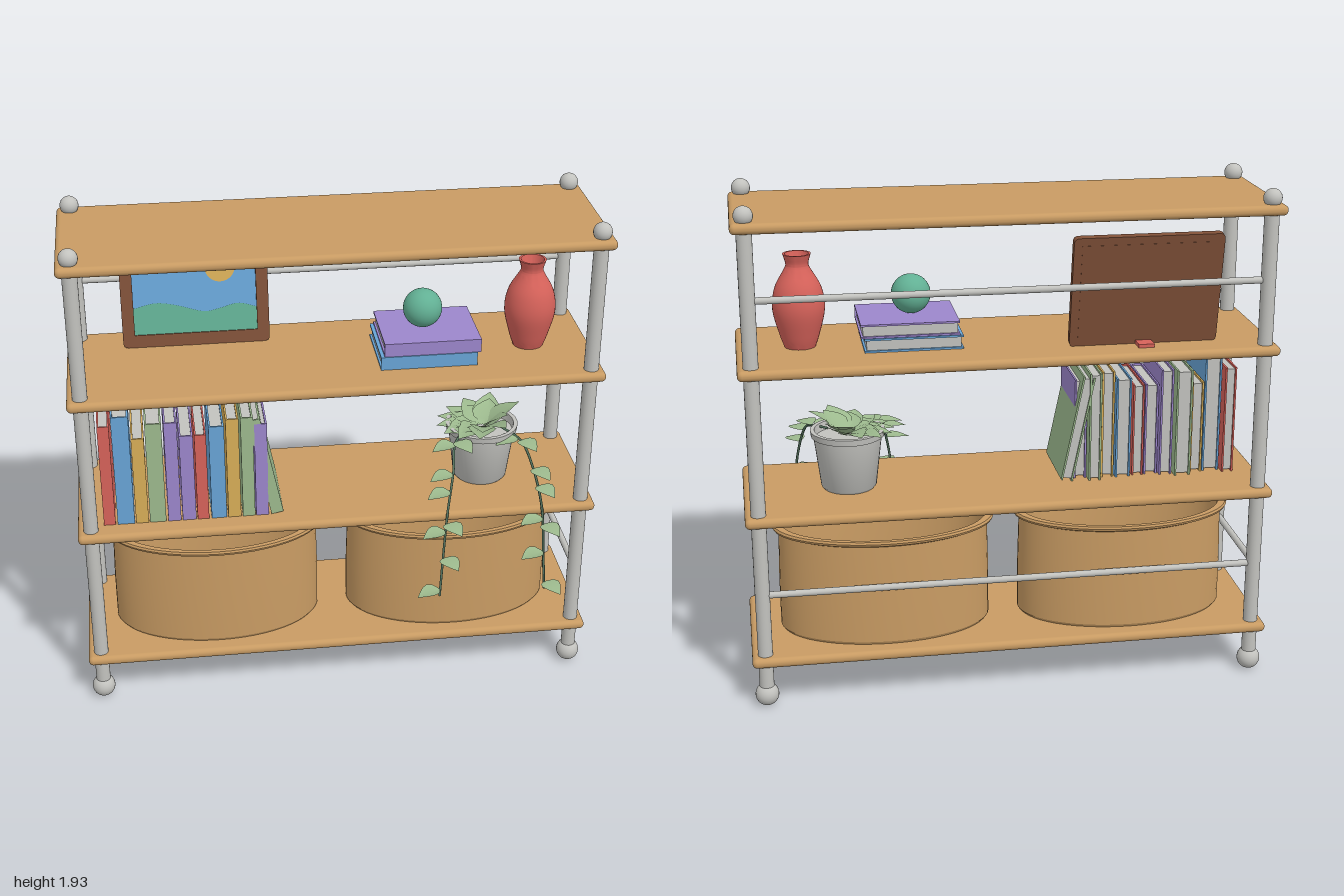
import * as THREE from 'three';
import { RoundedBoxGeometry } from 'three/addons/geometries/RoundedBoxGeometry.js';
import { toCreasedNormals } from 'three/addons/utils/BufferGeometryUtils.js';

const mat = (name, color) => Object.assign(new THREE.MeshStandardMaterial({ color }), { name });
const M = {
  wood: mat('wood', 0xc89b63), metal: mat('metal', 0xc2c2be), brown: mat('brown', 0x7f5038),
  red: mat('red', 0xd6625a), blue: mat('blue', 0x68a4d6), yellow: mat('yellow', 0xd8ae58),
  sage: mat('sage', 0x9dba8e), purple: mat('purple', 0x9c86cc), teal: mat('teal', 0x62b094),
  stem: mat('stem', 0x567560),
};
M.sage.side = THREE.DoubleSide;
const ZC = -0.062; // middle of the shelf depth

function add(parent, name, geometry, material, x = 0, y = 0, z = 0) {
  const mesh = new THREE.Mesh(geometry, material);
  mesh.name = name;
  mesh.position.set(x, y, z);
  parent.add(mesh);
  return mesh;
}

function group(parent, name, x = 0, y = 0, z = 0) {
  const g = new THREE.Group();
  g.name = name;
  g.position.set(x, y, z);
  parent.add(g);
  return g;
}

function lathe(points, segments = 40) {
  const profile = points.map(([r, y]) => new THREE.Vector2(r, y));
  return toCreasedNormals(new THREE.LatheGeometry(profile, segments), 0.6);
}

// Book standing on its tail: spine on +z, covers on +x and -x, pages inset
function book(parent, name, w, h, d, material) {
  const g = group(parent, name);
  const c = Math.min(0.007, w * 0.15);
  for (const s of [-1, 1]) add(g, 'cover', new THREE.BoxGeometry(c, h, d), material, s * (w - c) / 2, h / 2, 0);
  add(g, 'spine', new THREE.BoxGeometry(w - 2 * c, h, c), material, 0, h / 2, (d - c) / 2);
  add(g, 'pages', new THREE.BoxGeometry(w - 2 * c, h - 0.016, d - c - 0.008), M.metal, 0, h / 2, (8e-3 - c) / 2);
  return g;
}

// Leaf pointing along +z, folded along its midrib
function leafGeometry(length, width) {
  const g = new THREE.PlaneGeometry(2, 1, 2, 5).rotateX(-Math.PI / 2);
  const p = g.attributes.position;
  for (let i = 0; i < p.count; i++) {
    const side = p.getX(i), t = p.getZ(i) + 0.5;
    const half = width / 2 * Math.sin(Math.PI * Math.pow(t, 0.75));
    p.setXYZ(i, side * half, Math.abs(side) * half * 0.25 - 0.15 * length * t * t, t * length);
  }
  g.computeVertexNormals();
  return g;
}

function rectPath(PathClass, x0, y0, x1, y1, r) {
  const s = new PathClass();
  s.moveTo(x0 + r, y0);
  s.lineTo(x1 - r, y0).quadraticCurveTo(x1, y0, x1, y0 + r);
  s.lineTo(x1, y1 - r).quadraticCurveTo(x1, y1, x1 - r, y1);
  s.lineTo(x0 + r, y1).quadraticCurveTo(x0, y1, x0, y1 - r);
  s.lineTo(x0, y0 + r).quadraticCurveTo(x0, y0, x0 + r, y0);
  return s;
}

function buildRack(root) {
  const rack = group(root, 'rack');
  for (const y of [0.19, 0.757, 1.324, 1.855])
    add(rack, 'shelf', new RoundedBoxGeometry(2, 0.039, 0.595, 4, 0.0185), M.wood, 0, y, ZC);
  for (const x of [-0.95, 0.95]) {
    for (const z of [ZC - 0.248, ZC + 0.248]) {
      add(rack, 'post', new THREE.CylinderGeometry(0.028, 0.028, 1.83, 24), M.metal, x, 0.965, z);
      add(rack, 'foot', new THREE.SphereGeometry(0.045, 24, 16), M.metal, x, 0.045, z);
      add(rack, 'finial', new THREE.SphereGeometry(0.035, 24, 16), M.metal, x, 1.895, z);
    }
    add(rack, 'sideRail', new THREE.CylinderGeometry(0.013, 0.013, 0.496, 16).rotateX(Math.PI / 2), M.metal, x, 0.455, ZC);
  }
  for (const y of [0.455, 1.59])
    add(rack, 'backRail', new THREE.CylinderGeometry(0.013, 0.013, 1.9, 16).rotateZ(Math.PI / 2), M.metal, 0, y, ZC - 0.248);
}

function buildBaskets(root) {
  const profile = [[0, 0], [0.4, 0], [0.41, 0.012], [0.41, 0.2], [0.405, 0.405], [0.425, 0.412], [0.43, 0.421],
    [0.425, 0.43], [0.395, 0.43], [0.39, 0.4], [0.39, 0.02], [0, 0.02]];
  for (const x of [-0.47, 0.47])
    add(root, 'basket', lathe(profile, 56), M.wood, x, 0.209, ZC).scale.z = 0.58;
}

function buildBooks(root) {
  const row = group(root, 'bookRow', 0, 0.776, 0);
  // left edge, right edge, height, depth, colour
  const books = [
    [-0.9, -0.856, 0.427, 0.30, 'red'], [-0.848, -0.783, 0.464, 0.275, 'blue'], [-0.778, -0.73, 0.368, 0.28, 'yellow'],
    [-0.725, -0.663, 0.427, 0.31, 'sage'], [-0.655, -0.606, 0.427, 0.29, 'purple'], [-0.6, -0.548, 0.368, 0.275, 'purple'],
    [-0.543, -0.499, 0.368, 0.28, 'red'], [-0.489, -0.431, 0.4, 0.29, 'blue'], [-0.425, -0.376, 0.427, 0.28, 'yellow'],
    [-0.369, -0.322, 0.43, 0.31, 'sage'], [-0.318, -0.27, 0.4, 0.275, 'purple']];
  for (const [x0, x1, h, d, c] of books)
    book(row, 'uprightBook', x1 - x0, h, d, M[c]).position.set((x0 + x1) / 2, 0, 0.155 - d / 2);
  const leaning = book(row, 'leaningBook', 0.047, 0.42, 0.31, M.sage);
  leaning.position.set(-0.236, 0.006, 0);
  leaning.rotation.z = 0.2;

  // Two books lying flat, with a ball on top
  const stack = group(root, 'bookStack', 0, 0, -0.045);
  for (const [x, y, c] of [[0.35, 1.37, 'blue'], [0.363, 1.424, 'purple']]) {
    const flat = book(stack, 'flatBook', 0.052, 0.366, 0.295, M[c]);
    flat.rotation.z = Math.PI / 2;
    flat.position.set(x + 0.183, y, 0);
  }
  add(stack, 'ball', new THREE.SphereGeometry(0.074, 32, 24), M.teal, 0.345, 1.524, 0);
}

function buildVase(root) {
  const outline = new THREE.SplineCurve([[0.058, 0], [0.075, 0.05], [0.097, 0.145], [0.086, 0.225], [0.05, 0.292],
    [0.042, 0.315], [0.052, 0.352]].map(p => new THREE.Vector2(...p))).getPoints(30).map(p => [p.x, p.y]);
  add(root, 'vase', lathe([[0, 0], ...outline, [0.044, 0.352], [0.034, 0.315], [0, 0.29]]), M.red, 0.762, 1.343, -0.056);
}

function buildPicture(root) {
  const g = group(root, 'picture', -0.503, 1.346, -0.198);
  g.rotation.x = -0.17;
  const ring = rectPath(THREE.Shape, -0.281, 0, 0.281, 0.432, 0.022);
  ring.holes.push(rectPath(THREE.Path, -0.235, 0.048, 0.235, 0.386, 0.001));
  add(g, 'frame', new THREE.ExtrudeGeometry(ring, { depth: 0.028, bevelEnabled: false }), M.brown, 0, 0, -0.028);
  add(g, 'backing', new THREE.BoxGeometry(0.5, 0.37, 0.014), M.brown, 0, 0.217, -0.022);
  add(g, 'sky', new THREE.PlaneGeometry(0.47, 0.338), M.blue, 0, 0.217, -0.012);
  add(g, 'sun', new THREE.CircleGeometry(0.058, 32), M.yellow, 0.1, 0.3, -0.009);
  const hills = new THREE.Shape();
  hills.moveTo(-0.235, 0.048);
  hills.lineTo(0.235, 0.048).lineTo(0.235, 0.137);
  hills.splineThru([[0.165, 0.155], [0.09, 0.138], [0.03, 0.13], [-0.07, 0.158], [-0.15, 0.17], [-0.235, 0.152]]
    .map(p => new THREE.Vector2(...p)));
  add(g, 'hills', new THREE.ShapeGeometry(hills), M.teal, 0, 0, -0.006);
  add(root, 'pictureFoot', new THREE.BoxGeometry(0.06, 0.014, 0.085), M.red, -0.503, 1.35, -0.245);
}

function buildPlant(root) {
  const plant = group(root, 'plant', 0.597, 0, 0);
  add(plant, 'pot', lathe([[0, 0], [0.098, 0], [0.106, 0.01], [0.13, 0.205], [0.139, 0.208], [0.142, 0.232],
    [0.126, 0.232], [0.122, 0.2], [0, 0.2]]), M.metal, 0, 0.776, -0.056);

  // Crown of leaves rising outwards in two layers
  const addLeaf = (from, dir, length, width) =>
    add(plant, 'leaf', leafGeometry(length, width), M.sage, ...from).lookAt(new THREE.Vector3(...from).add(dir));
  for (const [count, length, rise, y, turn] of [[10, 0.165, 0.42, 0.985, 0], [7, 0.12, 0.5, 0.99, 0.3]])
    for (let i = 0; i < count; i++) {
      const a = turn + i / count * Math.PI * 2;
      addLeaf([Math.cos(a) * 0.015, y, -0.056 + Math.sin(a) * 0.015],
        new THREE.Vector3(Math.cos(a), rise, Math.sin(a)), length, 0.11);
    }

  // Two mirrored vines hanging over the shelf edge; each leaf is [position along vine, outward or inward]
  for (const s of [-1, 1]) {
    const path = new THREE.CatmullRomCurve3([[0.07, 1.0, -0.02], [0.13, 0.985, 0.07], [0.155, 0.93, 0.18],
      [0.185, 0.785, 0.245], [0.2, 0.58, 0.262], [0.21, 0.42, 0.275]].map(([x, y, z]) => new THREE.Vector3(s * x, y, z)));
    add(plant, 'vine', new THREE.TubeGeometry(path, 32, 0.005, 6), M.stem);
    for (const [t, out] of [[0.12, -1], [0.14, 1], [0.32, 1], [0.41, 1], [0.58, -1], [0.62, 1], [0.78, -1], [0.96, 1]])
      addLeaf(path.getPointAt(t).toArray(), new THREE.Vector3(s * out * 0.85, 0.05, 0.5), 0.1, 0.08);
  }
}

export function createModel() {
  const root = new THREE.Group();
  root.name = 'shelvingUnit';
  for (const build of [buildRack, buildBaskets, buildBooks, buildVase, buildPicture, buildPlant]) build(root);
  return root;
}
